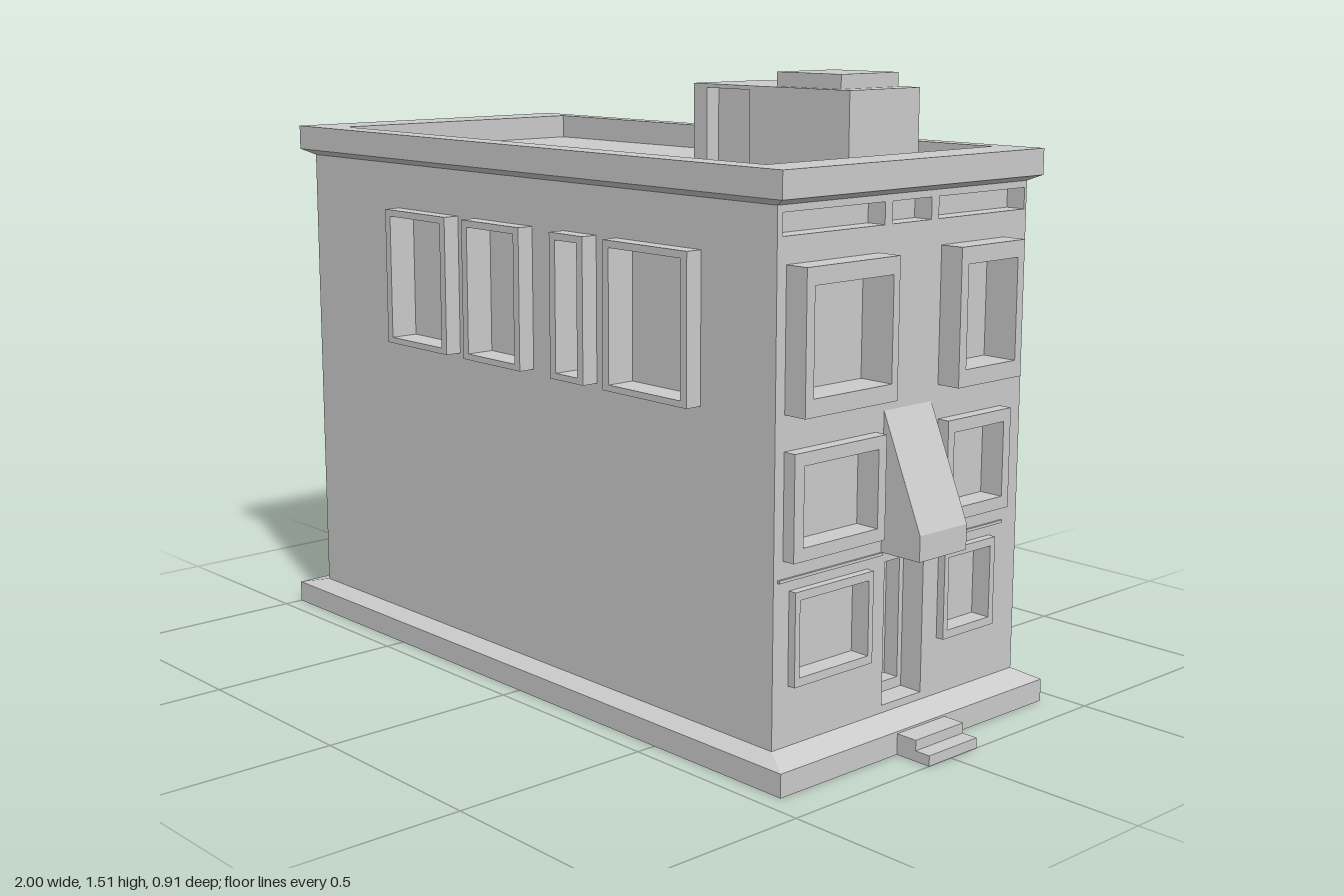
import * as THREE from 'three';

const material = new THREE.MeshStandardMaterial({ color: 0xcccccc, flatShading: true });

function add(parent, name, geometry) {
  const mesh = new THREE.Mesh(geometry, material);
  mesh.name = name;
  parent.add(mesh);
  return mesh;
}

// Box given by its limits on each axis
function box(parent, name, x0, x1, y0, y1, z0, z1) {
  const g = new THREE.BoxGeometry(x1 - x0, y1 - y0, z1 - z0);
  g.translate((x0 + x1) / 2, (y0 + y1) / 2, (z0 + z1) / 2);
  return add(parent, name, g);
}

// Sloped slab between two rectangles [x0, x1, z0, z1]
function slopedSlab(parent, name, y0, y1, low, high) {
  const g = new THREE.BoxGeometry(1, 1, 1);
  const p = g.attributes.position;
  for (let i = 0; i < p.count; i++) {
    const r = p.getY(i) > 0 ? high : low;
    p.setXYZ(i, p.getX(i) > 0 ? r[1] : r[0], p.getY(i) > 0 ? y1 : y0, p.getZ(i) > 0 ? r[3] : r[2]);
  }
  g.computeVertexNormals();
  return add(parent, name, g);
}

// Flat panel with rectangular holes [x0, x1, y0, y1], spanning local z from back to front
function panel(parent, name, outer, holes, back, front) {
  const corners = ([a, b, c, d]) => [[a, c], [b, c], [b, d], [a, d]].map(q => new THREE.Vector2(...q));
  const shape = new THREE.Shape(corners(outer));
  for (const h of holes) shape.holes.push(new THREE.Path(corners(h).reverse()));
  const g = new THREE.ExtrudeGeometry(shape, { depth: front - back, bevelEnabled: false });
  g.translate(0, 0, back);
  return add(parent, name, g);
}

// Projecting surround and recessed pane of one window
function window_(parent, outer, inner, reach, recess) {
  panel(parent, 'windowSurround', outer, [inner], -0.005, reach);
  const [a, b, c, d] = inner;
  box(parent, 'windowPane', a - 0.002, b + 0.002, c - 0.002, d + 0.002, -recess - 0.01, -recess);
}

function side(parent, name, angle, x, z) {
  const g = new THREE.Group();
  g.name = name;
  g.rotation.y = angle;
  g.position.set(x, 0, z);
  parent.add(g);
  return g;
}

export function createModel() {
  const model = new THREE.Group();
  model.name = 'townHouse';
  const X0 = -0.91, X1 = 0.84, Z = 0.413, TOP = 1.27;
  const body = [X0, X1, -Z, Z];

  // Plinth and entrance steps
  box(model, 'plinth', -1, 0.905, 0, 0.055, -0.45, 0.45);
  slopedSlab(model, 'plinthSlope', 0.055, 0.077, [-1, 0.905, -0.45, 0.45], body);
  box(model, 'upperStep', 0.9, 0.96, 0, 0.05, -0.09, 0.075);
  box(model, 'lowerStep', 0.95, 1, 0, 0.025, -0.09, 0.075);

  // Solid core behind the walls
  box(model, 'core', X0, 0.74, 0.05, TOP, -Z + 0.04, Z - 0.04);

  // Long walls with one row of four windows each
  const spans = [[-0.525, -0.27], [-0.2, 0.025], [0.14, 0.26], [0.33, 0.61]];
  for (const s of [1, -1]) {
    const wall = side(model, s > 0 ? 'frontWall' : 'backWall', s > 0 ? 0 : Math.PI, 0, s * Z);
    const flip = (a, b) => (s > 0 ? [a, b] : [-b, -a]);
    const inners = spans.map(([a, b]) => [...flip(a + 0.021, b - 0.021), 0.822, 1.135]);
    panel(wall, 'wallPanel', [...flip(X0, 0.74), 0.05, TOP], inners, -0.04, 0);
    spans.forEach(([a, b], i) => window_(wall, [...flip(a, b), 0.807, 1.152], inners[i], 0.042, 0.03));
  }

  // Street wall: local x runs toward -z
  const street = side(model, 'streetWall', Math.PI / 2, X1, 0);
  const windows = [
    [[-0.385, -0.095, 0.82, 1.14], [-0.36, -0.115, 0.86, 1.1], 0.06],
    [[0.112, 0.335, 0.82, 1.14], [0.137, 0.312, 0.86, 1.1], 0.06],
    [[-0.385, -0.095, 0.5, 0.74], [-0.355, -0.12, 0.53, 0.71], 0.032],
    [[0.115, 0.34, 0.5, 0.74], [0.137, 0.315, 0.53, 0.71], 0.032],
    [[-0.365, -0.115, 0.215, 0.43], [-0.35, -0.13, 0.235, 0.41], 0.02],
    [[0.13, 0.312, 0.215, 0.43], [0.145, 0.295, 0.235, 0.41], 0.02],
  ];
  const slots = [[-0.397, -0.08], [-0.055, 0.075], [0.1, 0.405]].map(q => [...q, 1.2, 1.25]);
  const door = [-0.057, 0.077, 0.095, 0.435];
  panel(street, 'wallPanel', [-Z, Z, 0.05, TOP], [...windows.map(w => w[1]), ...slots, door], -0.1, 0);
  for (const [outer, inner, reach] of windows) window_(street, outer, inner, reach, 0.03);
  for (const [a, b, c, d] of slots) box(street, 'slotBack', a, b, c, d, -0.06, -0.05);
  panel(street, 'doorFrame', door, [[-0.045, 0.063, 0.12, 0.42]], -0.1, -0.06);
  box(street, 'leftLedge', -0.4, -0.07, 0.453, 0.46, -0.01, 0.005);
  box(street, 'rightLedge', 0.095, 0.355, 0.453, 0.46, -0.01, 0.005);

  // Sloping canopy over the door
  const profile = [[0.83, 0.46], [0.953, 0.46], [0.953, 0.52], [0.84, 0.785], [0.83, 0.785]];
  const canopy = new THREE.ExtrudeGeometry(
    new THREE.Shape(profile.map(p => new THREE.Vector2(...p))), { depth: 0.16, bevelEnabled: false });
  canopy.translate(0, 0, -0.09);
  add(model, 'doorCanopy', canopy);

  // Cornice, roof floor and parapet
  const eave = [-0.957, 0.872, -0.432, 0.432];
  slopedSlab(model, 'corniceSlope', 1.266, 1.28, body, eave);
  const parapet = panel(model, 'parapet', eave, [[-0.83, 0.757, -0.365, 0.385]], 1.28, 1.342);
  parapet.rotation.x = -Math.PI / 2;

  // Roof stair house with a recessed door and a vent cap
  box(model, 'roofHouse', 0.053, 0.578, 1.275, 1.475, -0.33, -0.125);
  const roofFront = side(model, 'roofHouseFront', 0, 0, -0.085);
  panel(roofFront, 'roofDoorWall', [0.053, 0.578, 1.275, 1.475], [[0.1, 0.25, 1.28, 1.465]], -0.04, 0);
  box(model, 'roofVent', 0.32, 0.53, 1.47, 1.51, -0.307, -0.107);

  return model;
}
